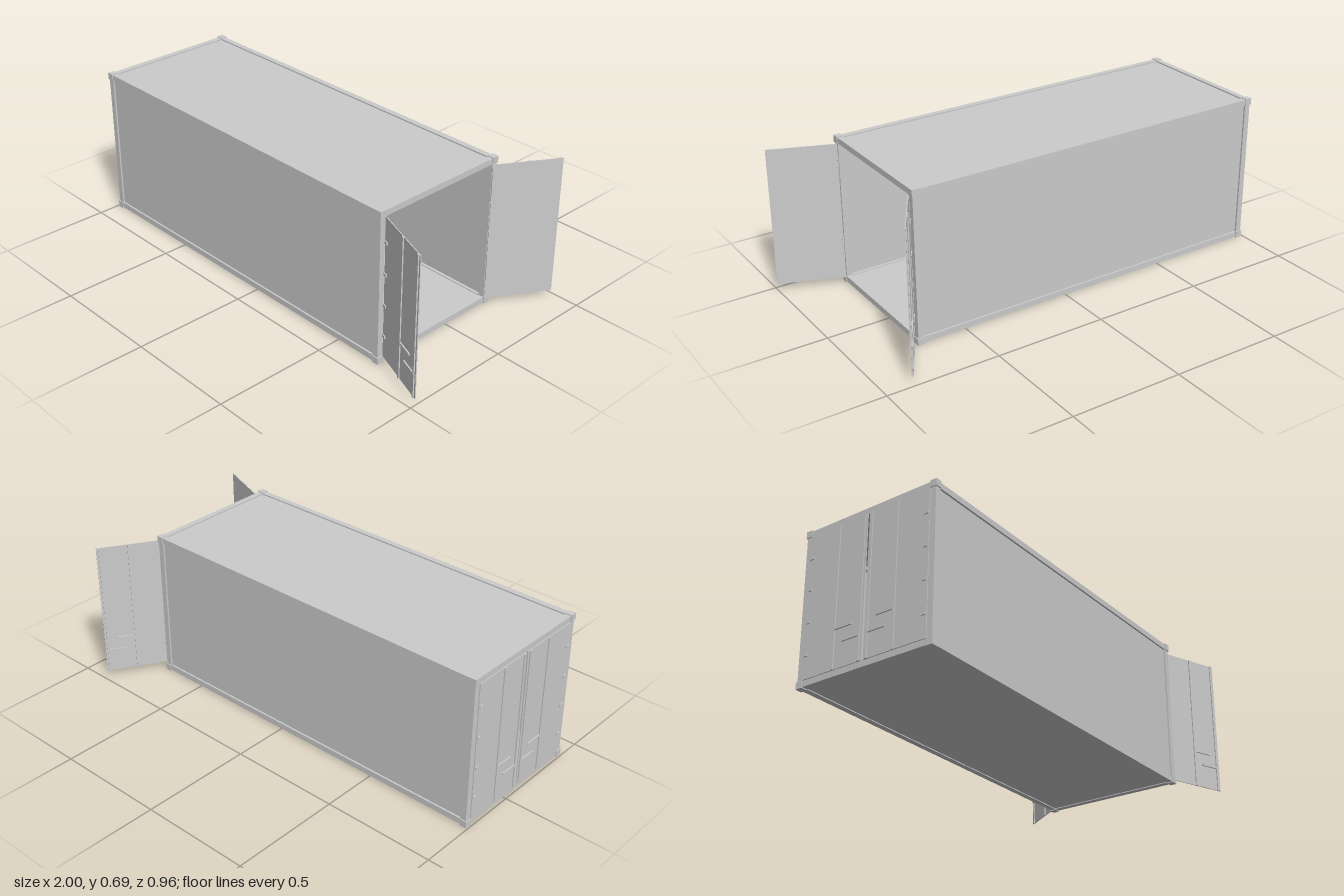
import * as THREE from 'three';

const material = new THREE.MeshStandardMaterial({ color: 0xcccccc, flatShading: true });

// Outer limits of the container body
const X0 = -0.993, X1 = 0.727, Z0 = -0.258, Z1 = 0.4, H = 0.685;
const C = 0.03;      // corner casting size
const GAP = 0.004;   // how far rails and posts sit behind the castings
const DOOR_Y0 = 0.03, DOOR_Y1 = 0.655, DOOR_W = 0.294;

// Box given by its minimum and maximum corners
function box(parent, name, x0, x1, y0, y1, z0, z1) {
  const mesh = new THREE.Mesh(new THREE.BoxGeometry(x1 - x0, y1 - y0, z1 - z0), material);
  mesh.position.set((x0 + x1) / 2, (y0 + y1) / 2, (z0 + z1) / 2);
  mesh.name = name;
  parent.add(mesh);
  return mesh;
}

// Door leaf: hinge on the local y axis, width along +x, outside towards s * z
function door(name, s) {
  const g = new THREE.Group();
  g.name = name;
  const t = 0.002;
  const outer = (part, x0, x1, y0, y1, depth) => {
    const a = s * (t - 0.001), b = s * (t + depth);
    box(g, part, x0, x1, y0, y1, Math.min(a, b), Math.max(a, b));
  };
  box(g, 'doorPanel', 0, DOOR_W, DOOR_Y0, DOOR_Y1, -t, t);

  // Full-height locking bars
  for (const x of [0.153, 0.28]) outer('lockingBar', x - 0.005, x + 0.005, DOOR_Y0, DOOR_Y1, 0.005);

  // Handles, one from each bar
  outer('upperHandle', 0.153, 0.24, 0.193, 0.201, 0.006);
  outer('lowerHandle', 0.195, 0.285, 0.134, 0.142, 0.006);

  // Outside hinge tabs
  for (const y of [0.13, 0.27, 0.41, 0.55]) outer('hingeTab', 0.003, 0.022, y - 0.006, y + 0.006, 0.005);

  // Hinge plates on the inner edge
  for (const y of [0.13, 0.508]) {
    const a = 0, b = -s * 0.006;
    box(g, 'hingePlate', -0.001, 0.004, y, y + 0.093, Math.min(a, b), Math.max(a, b));
  }
  return g;
}

export function createModel() {
  const group = new THREE.Group();
  group.name = 'shippingContainer';
  const frame = new THREE.Group();
  frame.name = 'frame';
  group.add(frame);

  // Corner posts with a casting at each end
  for (const x of [X0, X1 - C]) {
    for (const z of [Z0, Z1 - C]) {
      const px = x === X0 ? x + GAP : x;
      const pz = z === Z0 ? z + GAP : z;
      box(frame, 'cornerPost', px, px + C - GAP, C, H - C, pz, pz + C - GAP);
      for (const y of [0, H - C]) box(frame, 'cornerCasting', x, x + C, y, y + C, z, z + C);
    }
  }

  // Top and bottom rails
  for (const y of [GAP, H - C]) {
    const y1 = y + C - GAP;
    for (const z of [Z0 + GAP, Z1 - C]) box(frame, 'sideRail', X0 + C, X1 - C, y, y1, z, z + C - GAP);
    for (const x of [X0 + GAP, X1 - C]) box(frame, 'endRail', x, x + C - GAP, y, y1, Z0 + C, Z1 - C);
  }

  // Side walls, roof and floor, set slightly into the frame
  const wall = 0.004, inset = 0.012;
  box(group, 'frontWall', X0 + C, X1 - C, C, H - C, Z1 - inset - wall, Z1 - inset);
  box(group, 'backWall', X0 + C, X1 - C, C, H - C, Z0 + inset, Z0 + inset + wall);
  box(group, 'roof', X0 + C, X1 - C, H - inset + 0.002 - wall, H - inset + 0.002, Z0 + C, Z1 - C);
  box(group, 'floor', X0 + C, X1 - C, 0.008, 0.026, Z0 + C, Z1 - C);

  // Two open doors on the left end, two closed doors on the right end
  const doors = [
    ['openFrontDoor', X1, Z1 - C, -0.37, 1],
    ['openBackDoor', X1, Z0 + C, 1.025, -1],
    ['closedFrontDoor', X0 + 0.002, Z1 - C, Math.PI / 2, -1],
    ['closedBackDoor', X0 + 0.002, Z0 + C, -Math.PI / 2, 1],
  ];
  for (const [name, x, z, angle, s] of doors) {
    const d = door(name, s);
    d.position.set(x, 0, z);
    d.rotation.y = angle;
    group.add(d);
  }
  return group;
}
